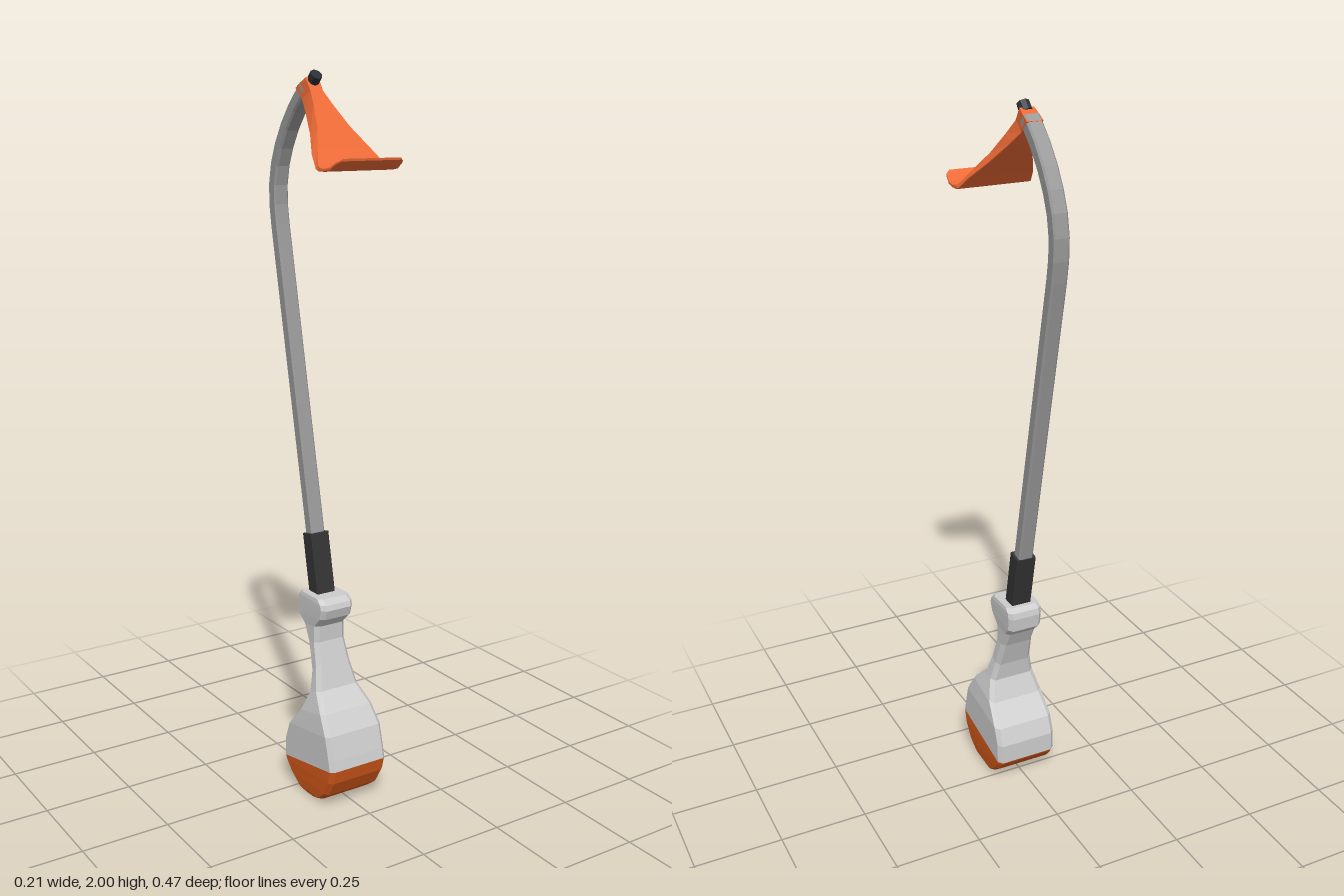
import * as THREE from 'three';

const material = (color) => new THREE.MeshStandardMaterial({ color, flatShading: true, side: THREE.DoubleSide });

// Lofts chamfered rectangles. Row: [front z, front y, back z, back y, front half width, back half width]
function loft(name, rows, chamfer, mat) {
  const loops = rows.map(([zf, yf, zb, yb, wf, wb = wf]) => {
    const depth = Math.hypot(zb - zf, yb - yf);
    const c = Math.min(chamfer, depth * 0.3, wf * 0.4);
    const k = c / depth;
    const at = (x, t) => [x, yf + (yb - yf) * t, zf + (zb - zf) * t];
    return [
      at(-wf + c, 0), at(wf - c, 0), at(wf, k), at(wb, 1 - k),
      at(wb - c, 1), at(-wb + c, 1), at(-wb, 1 - k), at(-wf, k),
    ];
  });
  const pos = [];
  const tri = (a, b, c) => pos.push(...a, ...b, ...c);
  for (let r = 0; r < loops.length - 1; r++) {
    const low = loops[r], high = loops[r + 1];
    for (let i = 0; i < 8; i++) {
      const j = (i + 1) % 8;
      tri(low[i], low[j], high[j]);
      tri(low[i], high[j], high[i]);
    }
  }
  // End caps
  const first = loops[0], last = loops[loops.length - 1];
  for (let i = 1; i < 7; i++) {
    tri(first[0], first[i + 1], first[i]);
    tri(last[0], last[i], last[i + 1]);
  }
  const geo = new THREE.BufferGeometry();
  geo.setAttribute('position', new THREE.Float32BufferAttribute(pos, 3));
  geo.computeVertexNormals();
  const mesh = new THREE.Mesh(geo, mat);
  mesh.name = name;
  return mesh;
}

// Rows of constant depth and width along a centre line of [z, y] points
function rowsAlong(points, halfDepth, halfWidth) {
  return points.map((p, i) => {
    const a = points[Math.max(i - 1, 0)], b = points[Math.min(i + 1, points.length - 1)];
    const len = Math.hypot(b[0] - a[0], b[1] - a[1]);
    const nz = ((b[1] - a[1]) / len) * halfDepth, ny = (-(b[0] - a[0]) / len) * halfDepth;
    return [p[0] + nz, p[1] + ny, p[0] - nz, p[1] - ny, halfWidth];
  });
}

export function createModel() {
  const model = new THREE.Group();
  const grey = material(0xcccccc);
  const steel = material(0x999999);
  const orange = material(0xee6a36);
  const baseOrange = material(0xd2581a);
  const black = material(0x333333);
  const knobBlack = material(0x2b2e34);

  // Rounded bottom of the handle, split from the grip along a slanted line
  model.add(loft('handleBase', [
    [0.10, 0.003, 0.04, 0.0, 0.083],
    [0.13, 0.012, 0.01, 0.008, 0.087],
    [0.165, 0.04, -0.03, 0.04, 0.09],
    [0.19, 0.085, -0.052, 0.068, 0.092],
    [0.20, 0.125, -0.056, 0.076, 0.092],
  ], 0.012, baseOrange));

  // Grip with a narrow neck and flared top
  model.add(loft('grip', [
    [0.20, 0.125, -0.056, 0.076, 0.092],
    [0.193, 0.155, -0.056, 0.135, 0.092],
    [0.175, 0.22, -0.036, 0.185, 0.092],
    [0.14, 0.272, 0.015, 0.245, 0.085],
    [0.092, 0.32, 0.041, 0.305, 0.069],
    [0.07, 0.39, 0.033, 0.36, 0.056],
    [0.052, 0.45, 0.006, 0.44, 0.05],
    [0.053, 0.497, -0.02, 0.49, 0.049],
    [0.083, 0.527, -0.046, 0.515, 0.051],
    [0.092, 0.555, -0.05, 0.555, 0.052],
    [0.087, 0.57, -0.046, 0.573, 0.052],
    [0.07, 0.583, -0.03, 0.583, 0.05],
  ], 0.012, grey));

  // Dark collar where the shaft enters the grip
  model.add(loft('collar', rowsAlong([[0.01, 0.56], [-0.028, 0.747]], 0.023, 0.029), 0.002, black));

  // Straight shaft bending forward at the top
  const path = [
    [-0.02, 0.70], [-0.207, 1.59], [-0.216, 1.645], [-0.217, 1.70], [-0.206, 1.755],
    [-0.185, 1.805], [-0.155, 1.855], [-0.115, 1.905], [-0.06, 1.958],
  ];
  model.add(loft('shaft', rowsAlong(path, 0.018, 0.022), 0.005, steel));

  // Flared blade with a curled lip, thickening to a clamp at the shaft
  model.add(loft('blade', [
    [0.235, 1.786, 0.234, 1.780, 0.088],
    [0.225, 1.779, 0.223, 1.772, 0.1],
    [0.20, 1.765, 0.20, 1.757, 0.104],
    [0.175, 1.761, 0.175, 1.753, 0.105],
    [0.158, 1.763, 0.152, 1.753, 0.105],
    [0.145, 1.768, 0.138, 1.757, 0.102, 0.105],
    [0.112, 1.804, 0.099, 1.791, 0.082, 0.092],
    [0.062, 1.859, 0.04, 1.841, 0.05, 0.06],
    [0.013, 1.913, -0.019, 1.891, 0.03, 0.036],
    [-0.02, 1.95, -0.058, 1.925, 0.019, 0.022],
    [-0.035, 1.972, -0.09, 1.955, 0.02, 0.023],
    [-0.043, 1.982, -0.066, 1.968, 0.02, 0.022],
  ], 0.0015, orange));

  // Small bolt head on the tip of the shaft
  const bolt = new THREE.Mesh(new THREE.CylinderGeometry(0.017, 0.017, 0.028, 8), knobBlack);
  bolt.name = 'bolt';
  bolt.rotation.x = Math.PI / 4;
  bolt.position.set(0, 1.979, -0.032);
  model.add(bolt);

  return model;
}
